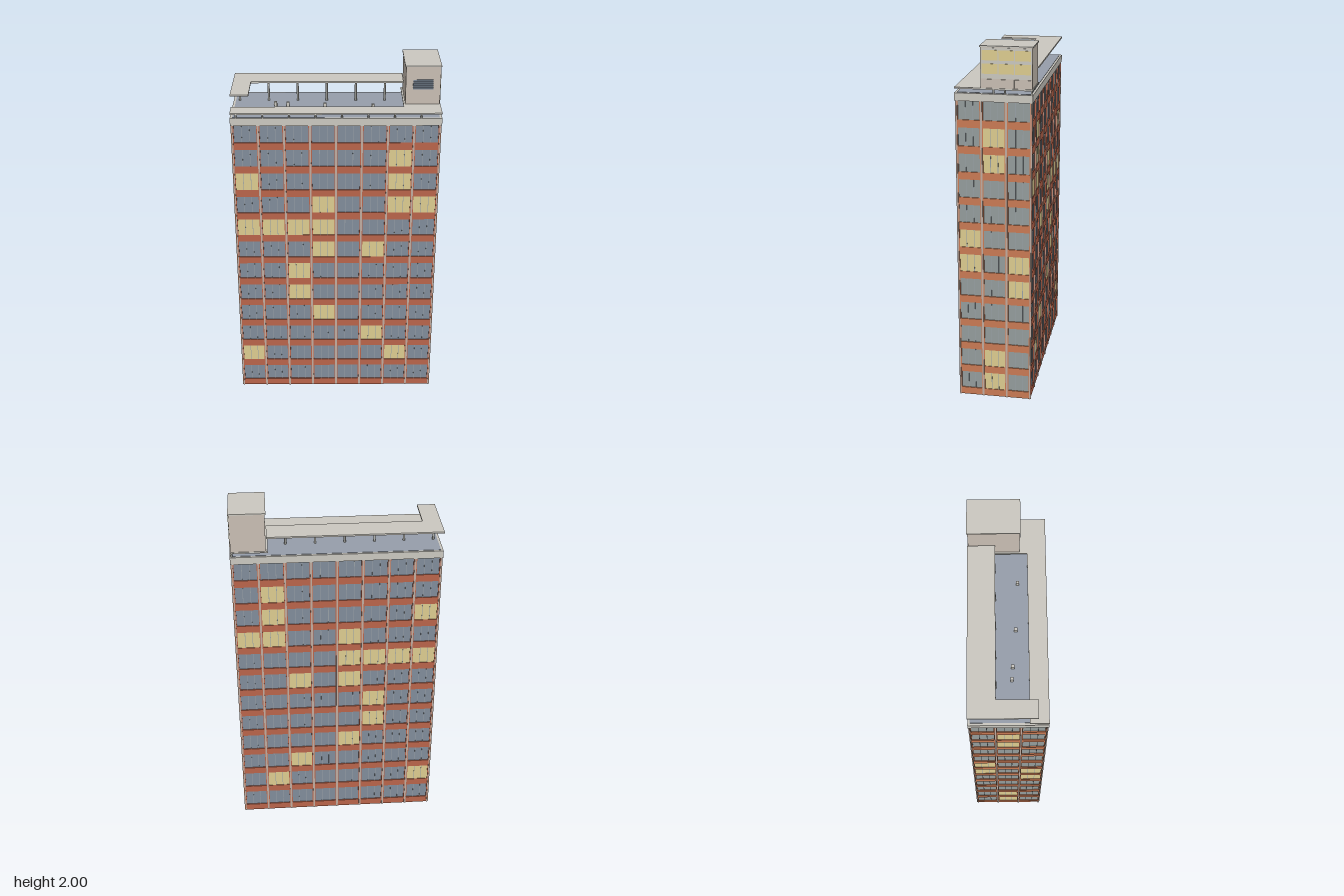
import * as THREE from 'three';

const mat = (color) => new THREE.MeshStandardMaterial({ color });
const M = {
  core: mat(0x85898c), brick: mat(0xb9644a), sideBrick: mat(0xc97a54),
  glass: mat(0x808c9a), sideGlass: mat(0x949d9c), lit: mat(0xdccc90),
  pier: mat(0xc0aca0), mullion: mat(0x98a0a6), stone: mat(0xcbc8c0),
  deck: mat(0x969eaa), wall: mat(0xc8beb3), slat: mat(0x7c8898), post: mat(0xb8b8b2),
};

// box from its minimum and maximum corners
function box(parent, name, material, x0, x1, y0, y1, z0, z1) {
  const mesh = new THREE.Mesh(new THREE.BoxGeometry(x1 - x0, y1 - y0, z1 - z0), material);
  mesh.position.set((x0 + x1) / 2, (y0 + y1) / 2, (z0 + z1) / 2);
  mesh.name = name;
  parent.add(mesh);
  return mesh;
}

const FLOORS = 12, TOP = 1.71, PITCH = 0.1422, BAND = 0.042;

// one facade: local x runs along the wall, local z = 0 is the glass plane
function facade(name, width, bays, brick, glass, lit) {
  const g = new THREE.Group();
  g.name = name;
  const h = width / 2, bay = width / bays;
  box(g, 'glazing', glass, -h, h, BAND, TOP, -0.004, 0);
  for (let f = 0; f < FLOORS; f++) {
    box(g, 'brickBand', brick, -h, h, f * PITCH, f * PITCH + BAND, -0.004, 0.006);
  }
  for (let b = 0; b < bays; b++) {
    for (const t of [0.36, 0.66]) {
      const x = -h + (b + t) * bay;
      box(g, 'mullion', M.mullion, x - 0.0015, x + 0.0015, BAND, TOP, 0, 0.003);
    }
  }
  for (let b = 0; b <= bays; b++) {
    const x = -h + b * bay;
    const a = b === 0 ? 0 : 0.009, c = b === bays ? 0 : 0.009;
    box(g, 'pierBacking', brick, x - a, x + c, 0, TOP, -0.004, 0.006);
    box(g, 'pier', M.pier, x - Math.min(a, 0.005), x + Math.min(c, 0.005), 0, TOP, 0, 0.01);
  }
  for (const [f, b] of lit) {
    const x = -h + b * bay, y = f * PITCH + BAND;
    box(g, 'litWindow', M.lit, x + 0.009, x + bay - 0.009, y, y + PITCH - BAND, 0, 0.0025);
  }
  return g;
}

// L-shaped or any polygonal slab given in (x, z) corners
function slab(parent, name, pts, y, thickness) {
  const shape = new THREE.Shape(pts.map(([x, z]) => new THREE.Vector2(x, -z)));
  const geo = new THREE.ExtrudeGeometry(shape, { depth: thickness, bevelEnabled: false });
  geo.rotateX(-Math.PI / 2);
  const mesh = new THREE.Mesh(geo, M.stone);
  mesh.position.y = y;
  mesh.name = name;
  parent.add(mesh);
}

function post(parent, name, x, z, y0, y1, r) {
  const mesh = new THREE.Mesh(new THREE.CylinderGeometry(r, r, y1 - y0, 8), M.post);
  mesh.position.set(x, (y0 + y1) / 2, z);
  mesh.name = name;
  parent.add(mesh);
}

export function createModel() {
  const model = new THREE.Group();
  model.name = 'towerBlock';

  // tower body and its four facades
  box(model, 'core', M.core, -0.556, 0.556, 0, TOP, -0.19, 0.19);
  const litLong = [[1, 0], [1, 6], [2, 5], [3, 3], [4, 2], [5, 2], [6, 3], [6, 5], [7, 0], [7, 1],
    [7, 2], [7, 3], [8, 3], [8, 6], [8, 7], [9, 0], [9, 6], [10, 6]];
  const litEnd = [[0, 1], [1, 1], [4, 2], [5, 0], [5, 2], [6, 0], [9, 1], [10, 1]];
  const front = facade('frontFacade', 1.13, 8, M.brick, M.glass, litLong);
  front.position.z = 0.195;
  const back = facade('backFacade', 1.13, 8, M.brick, M.glass, litLong.map(([f, b]) => [f, 7 - b]));
  back.position.z = -0.195;
  back.rotation.y = Math.PI;
  model.add(front, back);
  for (const s of [1, -1]) {
    const end = facade(s > 0 ? 'leftEndFacade' : 'rightEndFacade', 0.4, 3, M.sideBrick, M.sideGlass, litEnd);
    end.position.x = s * 0.561;
    end.rotation.y = s * Math.PI / 2;
    model.add(end);
  }

  // cornice and roof deck
  box(model, 'cornice', M.stone, -0.573, 0.573, 1.708, 1.75, -0.207, 0.207);
  box(model, 'roofDeck', M.deck, -0.56, 0.56, 1.75, 1.752, -0.195, 0.195);

  // low L-shaped slab along the front and one end, on short posts
  slab(model, 'lowSlab', [[-0.573, 0.207], [0.573, 0.207], [0.573, -0.207], [0.37, -0.207],
    [0.37, 0.108], [-0.573, 0.108]], 1.772, 0.008);
  for (let i = 0; i < 8; i++) post(model, 'shortPost', -0.54 + i * 0.143, 0.199, 1.75, 1.772, 0.005);
  for (const z of [0.0, -0.06, -0.199]) post(model, 'shortPost', 0.562, z, 1.75, 1.772, 0.005);

  // high L-shaped canopy along the back and the other end, on tall posts
  slab(model, 'canopy', [[-0.573, -0.207], [-0.573, 0.15], [-0.473, 0.15], [-0.473, -0.062],
    [0.376, -0.062], [0.376, -0.207]], 1.854, 0.009);
  for (let i = 0; i < 6; i++) post(model, 'canopyPost', -0.537 + i * 0.162, -0.065, 1.75, 1.854, 0.006);

  // small roof vents
  for (const [x, z] of [[-0.333, 0.02], [-0.265, 0.025], [-0.06, 0.043], [0.205, 0.055]]) {
    box(model, 'roofVent', M.stone, x - 0.008, x + 0.008, 1.75, 1.776, z - 0.008, z + 0.008);
  }

  // plant room with lid, louvre and glazed end
  const room = new THREE.Group();
  room.name = 'plantRoom';
  model.add(room);
  box(room, 'walls', M.wall, 0.38, 0.568, 1.775, 1.994, -0.203, 0.068);
  box(room, 'lid', M.stone, 0.375, 0.573, 1.993, 2, -0.207, 0.072);
  for (let i = 0; i < 5; i++) {
    const y = 1.866 + i * 0.0112;
    box(room, 'louvreSlat', M.slat, 0.42, 0.53, y, y + 0.009, 0.068, 0.073);
  }
  box(room, 'endGlazingFrame', M.stone, 0.568, 0.57, 1.83, 1.99, -0.2, 0.066);
  for (let c = 0; c < 3; c++) {
    const z = -0.196 + c * 0.087;
    for (const y of [1.855, 1.925]) {
      box(room, 'endWindow', M.lit, 0.568, 0.572, y, y + 0.053, z, z + 0.082);
    }
    box(room, 'endPanel', M.wall, 0.568, 0.572, 1.783, 1.827, z, z + 0.082);
  }
  return model;
}
